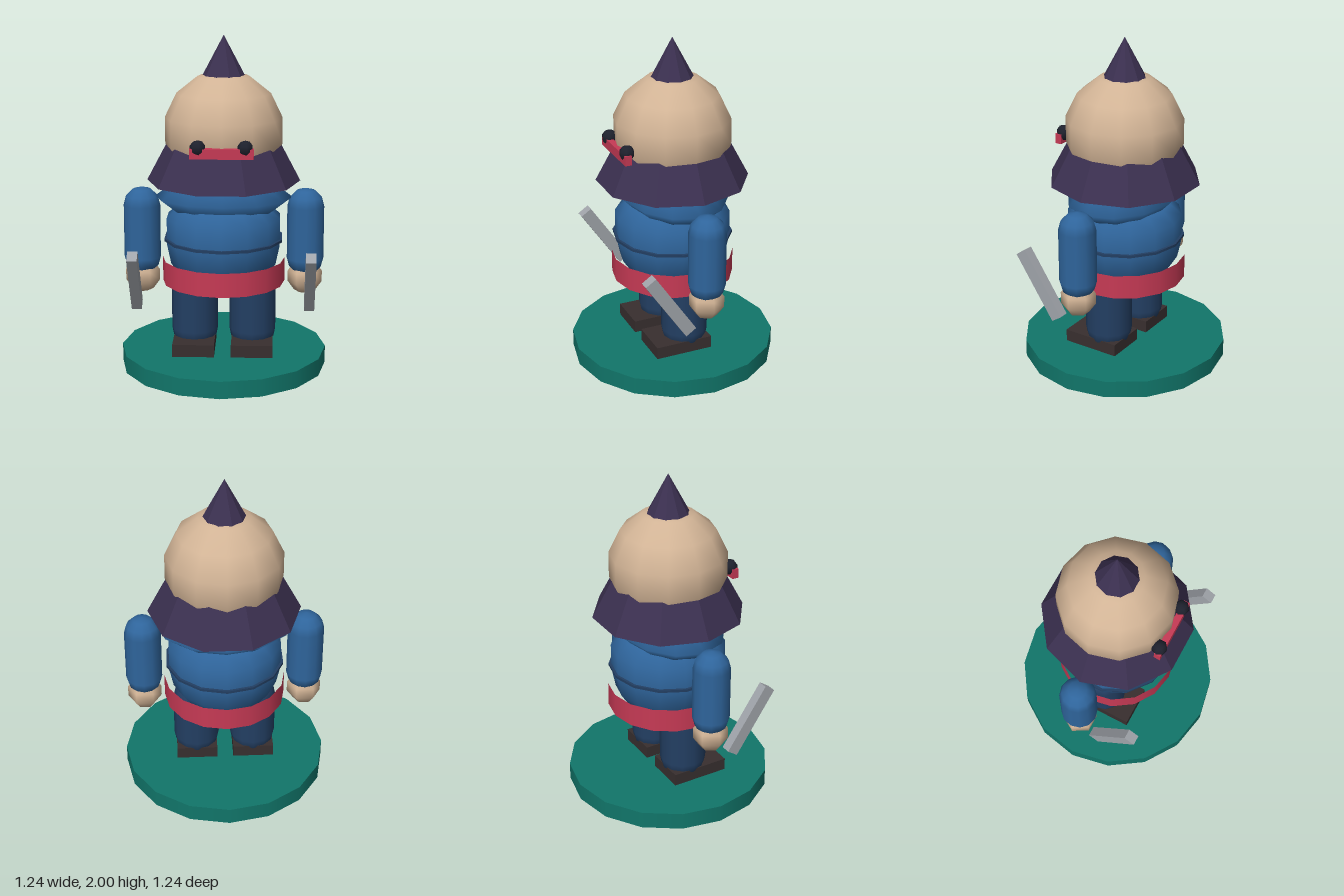
import * as THREE from 'three';

const mat = (name, color, extra = {}) => {
  const m = new THREE.MeshStandardMaterial({ color, ...extra });
  m.name = name;
  return m;
};

export function createModel() {
  const model = new THREE.Group();
  model.name = 'figurine';

  const green = mat('base green', 0x11766a);
  const skin = mat('skin', 0xd2b496);
  const blue = mat('jacket blue', 0x2f659c);
  const navy = mat('trouser navy', 0x233f63);
  const red = mat('sash red', 0xc73a55);
  const purple = mat('hat purple', 0x3b3050, { flatShading: true });
  const brown = mat('boot brown', 0x382f2f);
  const grey = mat('blade grey', 0xa0a4aa);
  const black = mat('eye black', 0x1e212d);

  const add = (name, geometry, material, x = 0, y = 0, z = 0) => {
    const mesh = new THREE.Mesh(geometry, material);
    mesh.name = name;
    mesh.position.set(x, y, z);
    model.add(mesh);
    return mesh;
  };

  // Stand
  add('base', new THREE.CylinderGeometry(0.62, 0.62, 0.105, 16), green, 0, 0.0525, 0);

  // Rounded torso, seam, shoulders and sash
  const torso = [
    [0, 0.42], [0.13, 0.45], [0.24, 0.525], [0.32, 0.64], [0.345, 0.76],
    [0.345, 0.92], [0.27, 0.985], [0, 1.05],
  ].map(([r, y]) => new THREE.Vector2(r, y));
  add('torso', new THREE.LatheGeometry(torso, 14), blue);
  add('jacketSeam', new THREE.CylinderGeometry(0.36, 0.36, 0.016, 14), navy, 0, 0.788, 0);
  add('shoulders', new THREE.SphereGeometry(1, 12, 4), blue, 0, 1.04, 0).scale.set(0.41, 0.13, 0.31);
  add('sash', new THREE.CylinderGeometry(0.367, 0.367, 0.145, 16, 1, true), red, 0, 0.593, 0);

  // Head, with the tall cone hat passing through it
  add('head', new THREE.SphereGeometry(0.355, 12, 7), skin, 0, 1.44, 0);
  add('hat', new THREE.ConeGeometry(0.455, 0.86, 10), purple, 0, 1.57, 0).rotation.y = Math.PI / 2;
  add('faceBand', new THREE.BoxGeometry(0.365, 0.058, 0.04), red, 0, 1.367, 0.35);

  // Paired parts
  for (const [side, s] of [['left', 1], ['right', -1]]) {
    add(side + 'Eye', new THREE.SphereGeometry(0.047, 7, 5), black, s * 0.135, 1.396, 0.34);
    add(side + 'Arm', new THREE.CapsuleGeometry(0.11, 0.32, 3, 12), blue, s * 0.49, 0.825, 0);
    add(side + 'Hand', new THREE.SphereGeometry(0.108, 6, 5), skin, s * 0.49, 0.55, 0);
    add(side + 'Leg', new THREE.CapsuleGeometry(0.14, 0.28, 4, 12), navy, s * 0.175, 0.36, 0);
    add(side + 'Boot', new THREE.BoxGeometry(0.25, 0.08, 0.355), brown, s * 0.175, 0.14, 0.0525);
    add(side + 'Blade', new THREE.BoxGeometry(0.06, 0.447, 0.075), grey, s * 0.515, 0.582, 0.247).rotation.x = 0.594;
  }

  return model;
}
